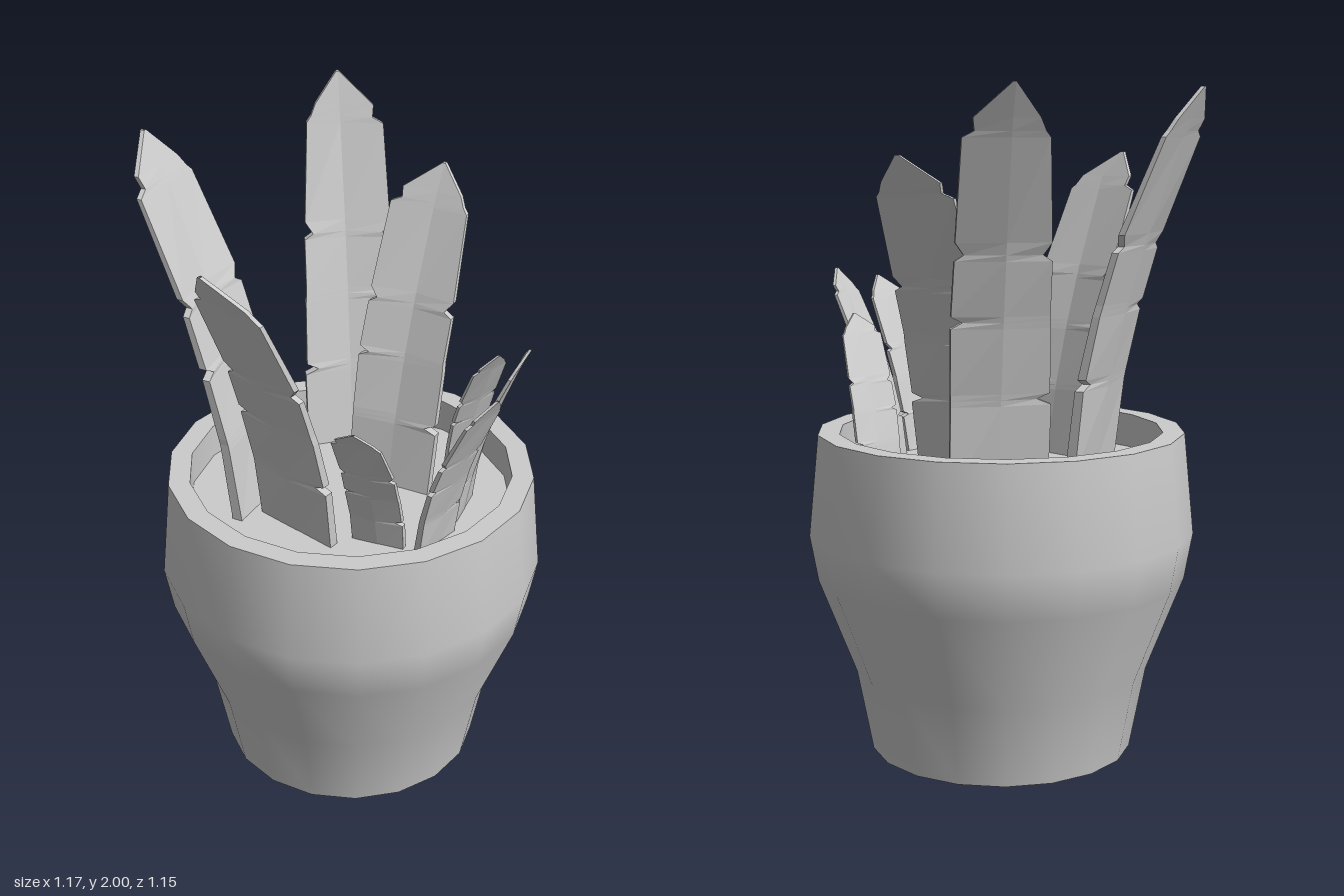
import * as THREE from 'three';

const SIDES = 18;
const SOIL_Y = 0.88;

// Leaf outline from base to tip: [height fraction, left edge, right edge] in half widths.
// Sudden dips are the nicks along the margins.
const OUTLINE = [
  [0, -0.95, 0.95], [0.225, -0.97, 1.0], [0.24, -0.97, 0.72], [0.255, -0.98, 0.97],
  [0.42, -1.02, 0.96], [0.435, -0.8, 0.95], [0.45, -1.02, 0.94],
  [0.585, -1.0, 0.94], [0.6, -0.82, 0.75], [0.63, -1.0, 0.92],
  [0.875, -0.98, 0.78], [0.89, -0.74, 0.68], [0.92, -0.78, 0.56], [1, -0.03, 0.03],
];

// Base centre, tip, half-width vector (x, z) at the base.
// Optional: half-width vector at the top (twist), sideways shift of the point, mirrored outline.
const LEAVES = [
  { name: 'tallLeafLeftSide', base: [-0.23, 0.145], tip: [-0.575, 2.0, 0.15], span: [0, 0.148], flip: true },
  { name: 'tallLeafBackCorner', base: [-0.155, -0.305], tip: [-0.335, 2.0, -0.55], span: [-0.108, 0.108], spanTop: [-0.122, 0.05] },
  { name: 'broadLeafBack', base: [0.075, -0.115], tip: [0.075, 1.81, -0.46], span: [-0.142, 0], flip: true },
  { name: 'broadLeafFront', base: [-0.05, 0.23], tip: [-0.1, 1.81, 0.565], span: [0.145, 0.04], spanTop: [0.135, 0.035], skew: -0.35 },
  { name: 'smallLeafBack', base: [0.22, -0.335], tip: [0.37, 1.34, -0.235], span: [0.028, -0.073] },
  { name: 'smallLeafSideBack', base: [0.33, -0.085], tip: [0.52, 1.46, -0.1], span: [-0.01, -0.085], flip: true },
  { name: 'smallLeafSideFront', base: [0.335, 0.115], tip: [0.53, 1.42, 0.15], span: [0.02, -0.083] },
  { name: 'smallLeafFront', base: [0.195, 0.19], tip: [0.205, 1.34, 0.375], span: [0.083, -0.008] },
];

// A thin folded blade that bends outward as it rises
function leafGeometry({ base, tip, span, spanTop = span, skew = 0, flip = false }) {
  const bottom = SOIL_Y - 0.02;
  const reach = new THREE.Vector3(tip[0] - base[0], 0, tip[2] - base[1]);
  const out = reach.clone().normalize();
  const spanLow = new THREE.Vector3(span[0], 0, span[1]);
  const spanHigh = new THREE.Vector3(spanTop[0], 0, spanTop[1]);
  const half = spanLow.length();
  const thick = 0.09 * half + 0.003;

  const positions = [];
  const index = [];
  for (const [f, l, r] of OUTLINE) {
    const shift = f === 1 ? skew : 0;
    const left = (flip ? -r : l) + shift;
    const right = (flip ? -l : r) + shift;
    const across = spanLow.clone().lerp(spanHigh, f);
    const fold = 0.13 * half * Math.sin(Math.PI * f);
    const t = thick * (1 - 0.6 * f);
    const ring = [[left, -t], [shift, fold - t], [right, -t], [right, t], [shift, fold + t], [left, t]];
    for (const [s, d] of ring) {
      const p = new THREE.Vector3(base[0], bottom + (tip[1] - bottom) * f, base[1])
        .addScaledVector(reach, 0.25 * f + 0.75 * f * f)
        .addScaledVector(across, s)
        .addScaledVector(out, d);
      positions.push(p.x, p.y, p.z);
    }
  }
  // Join neighbouring rings
  for (let k = 0; k < OUTLINE.length - 1; k++) {
    for (let i = 0; i < 6; i++) {
      const ai = k * 6 + i;
      const aj = k * 6 + (i + 1) % 6;
      index.push(aj, ai, ai + 6, aj, ai + 6, aj + 6);
    }
  }
  const geometry = new THREE.BufferGeometry();
  geometry.setAttribute('position', new THREE.Float32BufferAttribute(positions, 3));
  geometry.setIndex(index);
  geometry.computeVertexNormals();
  return geometry;
}

export function createModel() {
  const model = new THREE.Group();
  const smooth = new THREE.MeshStandardMaterial({ color: 0xcccccc });
  const flat = new THREE.MeshStandardMaterial({ color: 0xcccccc, flatShading: true, side: THREE.DoubleSide });

  const add = (parent, name, geometry, material) => {
    const mesh = new THREE.Mesh(geometry, material);
    mesh.name = name;
    parent.add(mesh);
    return mesh;
  };
  const lathe = (profile) => new THREE.LatheGeometry(
    profile.map(([r, y]) => new THREE.Vector2(r, y)), SIDES, Math.PI / 2);

  // Pot: separate lathes keep the rim edges sharp
  const pot = new THREE.Group();
  pot.name = 'pot';
  model.add(pot);
  add(pot, 'potWall', lathe([[0.4, 0], [0.448, 0.25], [0.56, 0.54], [0.585, 0.68], [0.555, 0.985]]), smooth);
  add(pot, 'potRim', lathe([[0.555, 0.985], [0.49, 0.985]]), smooth);
  add(pot, 'potInnerWall', lathe([[0.49, 0.985], [0.49, SOIL_Y]]), smooth);
  add(pot, 'potBase', new THREE.CircleGeometry(0.4, SIDES), smooth).rotation.x = Math.PI / 2;

  // Soil
  const soil = add(model, 'soil', new THREE.CircleGeometry(0.49, SIDES), smooth);
  soil.rotation.x = -Math.PI / 2;
  soil.position.y = SOIL_Y;

  // Leaves
  const leaves = new THREE.Group();
  leaves.name = 'leaves';
  model.add(leaves);
  for (const leaf of LEAVES) add(leaves, leaf.name, leafGeometry(leaf), flat);

  return model;
}
